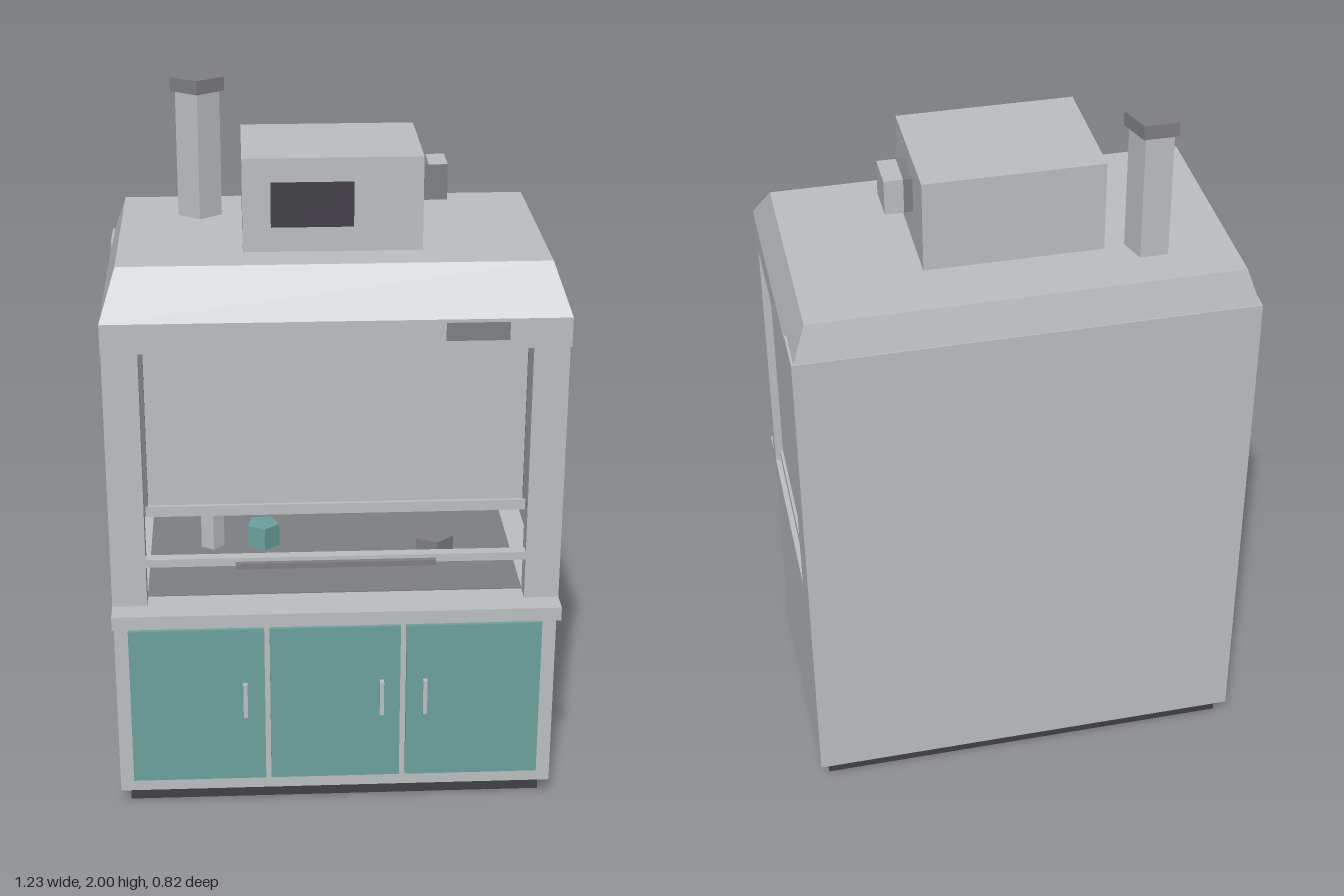
import * as THREE from 'three';

const mat = (name, color) => {
  const m = new THREE.MeshStandardMaterial({ color });
  m.name = name;
  return m;
};

export function createModel() {
  const model = new THREE.Group();
  model.name = 'fumeHood';
  const pale = mat('paleGrey', 0xbcc0c1);
  const mid = mat('midGrey', 0x7f8084);
  const dark = mat('charcoal', 0x424047);
  const teal = mat('teal', 0x6ca19f);

  const add = (name, geo, material) => {
    const mesh = new THREE.Mesh(geo, material);
    mesh.name = name;
    model.add(mesh);
    return mesh;
  };
  // Box given by its extents on each axis
  const box = (name, material, x0, x1, y0, y1, z0, z1) => {
    const g = new THREE.BoxGeometry(x1 - x0, y1 - y0, z1 - z0);
    g.translate((x0 + x1) / 2, (y0 + y1) / 2, (z0 + z1) / 2);
    return add(name, g, material);
  };
  // Low-poly upright prism standing on y0
  const prism = (name, material, r, x, z, y0, y1, sides = 5, turn = 0) => {
    const g = new THREE.CylinderGeometry(r, r, y1 - y0, sides).toNonIndexed();
    g.computeVertexNormals();
    g.rotateY(turn).translate(x, (y0 + y1) / 2, z);
    return add(name, g, material);
  };

  // Plinth with its inset base plate, cabinet and worktop
  box('basePlate', mid, -0.56, 0.56, 0, 0.003, -0.35, 0.26);
  box('plinth', dark, -0.59, 0.59, 0.002, 0.056, -0.38, 0.29);
  box('cabinet', pale, -0.616, 0.616, 0.056, 0.62, -0.41, 0.33);
  box('chamberBase', pale, -0.616, 0.616, 0.62, 0.658, -0.41, 0.33);
  box('worktopLip', pale, -0.616, 0.616, 0.618, 0.658, 0.33, 0.41);
  box('chamberFloor', mid, -0.52, 0.52, 0.658, 0.661, -0.27, 0.29);

  // Cabinet doors and handles
  [[-0.577, -0.2, -0.255], [-0.185, 0.18, 0.128], [0.197, 0.575, 0.25]].forEach(([x0, x1, h]) => {
    box('door', teal, x0, x1, 0.097, 0.577, 0.33, 0.345);
    box('doorHandle', pale, h - 0.006, h + 0.006, 0.303, 0.408, 0.345, 0.36);
  });

  // Back of the working chamber with its extraction slot
  box('rearDuct', pale, -0.616, 0.616, 0.658, 1.505, -0.41, -0.275);
  box('backPanel', mid, -0.585, 0.585, 0.658, 1.405, -0.275, -0.268);
  box('extractionSlot', dark, -0.413, 0.41, 0.804, 0.814, -0.268, -0.263);

  // Posts, side windows, sills and sash tracks on both sides
  for (const s of [-1, 1]) {
    const side = (name, m, a, b, ...rest) => box(name, m, Math.min(s * a, s * b), Math.max(s * a, s * b), ...rest);
    side('frontPost', pale, 0.52, 0.616, 0.658, 1.405, 0.29, 0.345);
    side('sideWindow', pale, 0.583, 0.593, 0.658, 1.405, -0.275, 0.29);
    side('sideSill', pale, 0.583, 0.601, 0.658, 0.69, -0.275, 0.29);
    side('sashTrack', mid, 0.508, 0.52, 0.92, 1.405, 0.3, 0.325);
  }

  // Sliding sash and lower bar with its grip
  box('sash', pale, -0.508, 0.508, 0.95, 1.405, 0.305, 0.32);
  box('sashRail', pale, -0.515, 0.515, 0.92, 0.95, 0.3, 0.33);
  box('lowerBar', pale, -0.52, 0.52, 0.775, 0.798, 0.315, 0.345);
  box('lowerBarGrip', mid, -0.275, 0.272, 0.771, 0.787, 0.345, 0.36);

  // Vessels on the worktop
  prism('beaker', pale, 0.035, -0.342, -0.025, 0.658, 0.77, 5, 0.1);
  prism('flask', teal, 0.048, -0.195, -0.025, 0.658, 0.728, 5, 0.1);
  prism('dish', mid, 0.057, 0.297, 0.035, 0.658, 0.708, 5, 0.1);

  // Fascia, name plate and sloping canopy
  box('fascia', pale, -0.616, 0.616, 1.405, 1.487, -0.275, 0.37);
  box('fasciaPlate', mid, 0.285, 0.452, 1.428, 1.478, 0.369, 0.371);
  const canopy = new THREE.BoxGeometry(1.232, 0.12, 0.78).toNonIndexed();
  canopy.translate(0, 1.547, -0.02);
  const p = canopy.attributes.position;
  for (let i = 0; i < p.count; i++) {
    if (p.getY(i) < 1.55) continue;
    p.setX(i, Math.sign(p.getX(i)) * 0.575);
    p.setZ(i, p.getZ(i) > 0 ? 0.26 : -0.385);
  }
  canopy.computeVertexNormals();
  add('canopy', canopy, pale);

  // Blower housing with display and side motor
  box('blowerHousing', pale, -0.24, 0.24, 1.607, 1.862, -0.21, 0.15);
  box('blowerPanel', dark, -0.165, 0.056, 1.674, 1.797, 0.149, 0.151);
  box('motorNeck', mid, 0.24, 0.264, 1.708, 1.806, -0.083, 0.026);
  box('motorBox', pale, 0.264, 0.315, 1.708, 1.806, -0.083, 0.025);
  box('motorPlate', mid, 0.264, 0.315, 1.708, 1.806, 0.025, 0.026);

  // Exhaust flue
  prism('flue', pale, 0.064, -0.357, -0.22, 1.607, 1.963);
  prism('flueCap', mid, 0.078, -0.357, -0.22, 1.961, 2);

  return model;
}
